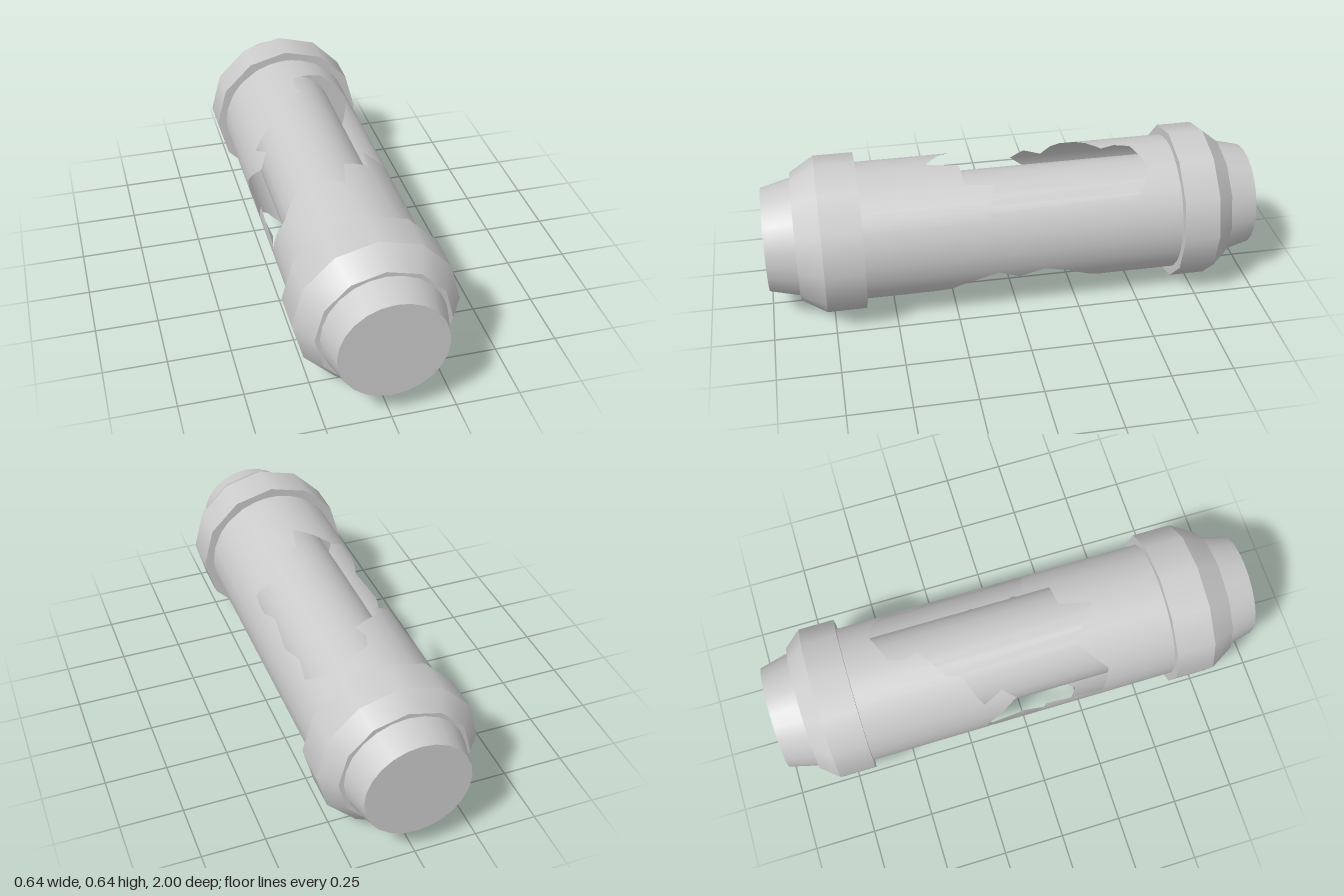
import * as THREE from 'three';
import { mergeGeometries } from 'three/addons/utils/BufferGeometryUtils.js';

const AXIS_Y = 0.32;
const material = new THREE.MeshStandardMaterial({ color: 0xcccccc });
const thinMaterial = new THREE.MeshStandardMaterial({ color: 0xcccccc, side: THREE.DoubleSide });

// Turned part along z from [radius, z] points: smooth around, sharp between bands
function turned(name, points, sides) {
  const bands = [];
  for (let i = 0; i < points.length - 1; i++) {
    const pair = [points[i], points[i + 1]].map(([r, z]) => new THREE.Vector2(r, z));
    bands.push(new THREE.LatheGeometry(pair, sides));
  }
  const geometry = mergeGeometries(bands).rotateX(Math.PI / 2);
  const mesh = new THREE.Mesh(geometry, material);
  mesh.name = name;
  mesh.position.y = AXIS_Y;
  return mesh;
}

// Torn openings as [angle in degrees from +x, z] outlines
const topTear = [
  [32, 0.12], [60, 0.09], [62, 0.2], [84, 0.21], [90, 0.34], [120, 0.23], [149, 0.34],
  [179, 0.31], [176, 0.2], [173, 0.07], [188, 0.035], [185, -0.08], [202, -0.17], [180, -0.18],
  [152, -0.05], [140, -0.1], [150, -0.18], [142, -0.2], [120, -0.24], [115, -0.3], [90, -0.38],
  [94, -0.44], [90, -0.5], [62, -0.55], [44, -0.51], [33, -0.46], [38, -0.36], [31, -0.25],
  [37, -0.08], [30, 0], [30, 0.06],
];
const bottomTear = [
  [-33, 0.22], [-20, 0.09], [-30, 0], [-21, -0.1], [-30, -0.22], [-51, -0.34], [-73, -0.4],
  [-94, -0.42], [-108, -0.34], [-113, -0.16], [-135, -0.2], [-148, -0.15], [-141, 0],
  [-149, 0.1], [-144, 0.2], [-128, 0.24], [-113, 0.19], [-112, 0.38], [-87, 0.4], [-56, 0.41],
  [-45, 0.27],
];

// Thin tube cut by the tears: slabs between successive angles, split at every outline edge
function tornSleeve(radius, zBack, zFront) {
  const start = -155, end = 205;
  const edges = [[[start, zBack], [end, zBack]], [[start, zFront], [end, zFront]]];
  const angles = new Set([start, end]);
  for (let a = -150; a < end; a += 15) angles.add(a);
  for (const tear of [topTear, bottomTear]) {
    tear.forEach((p, i) => {
      angles.add(p[0]);
      edges.push([p, tear[(i + 1) % tear.length]]);
    });
  }
  const zAt = ([p, q], a) => p[1] + (q[1] - p[1]) * (a - p[0]) / (q[0] - p[0]);
  const positions = [], normals = [];
  const vertex = (a, z) => {
    const c = Math.cos(a * Math.PI / 180), s = Math.sin(a * Math.PI / 180);
    positions.push(radius * c, radius * s, z);
    normals.push(c, s, 0);
  };
  const sorted = [...angles].sort((a, b) => a - b);
  for (let i = 0; i < sorted.length - 1; i++) {
    const a = sorted[i], b = sorted[i + 1], mid = (a + b) / 2;
    const crossing = edges
      .filter(([p, q]) => Math.min(p[0], q[0]) <= a && Math.max(p[0], q[0]) >= b)
      .sort((e, f) => zAt(e, mid) - zAt(f, mid));
    for (let k = 0; k + 1 < crossing.length; k += 2) {
      const lo = crossing[k], hi = crossing[k + 1];
      vertex(a, zAt(lo, a)); vertex(b, zAt(lo, b)); vertex(b, zAt(hi, b));
      vertex(a, zAt(lo, a)); vertex(b, zAt(hi, b)); vertex(a, zAt(hi, a));
    }
  }
  const geometry = new THREE.BufferGeometry();
  geometry.setAttribute('position', new THREE.Float32BufferAttribute(positions, 3));
  geometry.setAttribute('normal', new THREE.Float32BufferAttribute(normals, 3));
  const mesh = new THREE.Mesh(geometry, thinMaterial);
  mesh.name = 'tornSleeve';
  mesh.position.y = AXIS_Y;
  return mesh;
}

export function createModel() {
  const model = new THREE.Group();
  model.name = 'brokenCasing';

  // Inner rod with flared, tapering ends
  model.add(turned('innerRod', [
    [0, -1], [0.21, -1], [0.24, -0.88], [0.24, -0.8], [0.205, -0.8],
    [0.205, 0.8], [0.24, 0.8], [0.24, 0.88], [0.21, 1], [0, 1],
  ], 24));

  // Twelve-sided collars, the rear one slightly shorter
  model.add(turned('frontCollar', [
    [0.2, 0.62], [0.32, 0.62], [0.32, 0.78], [0.26, 0.88], [0.2, 0.88],
  ], 12));
  model.add(turned('rearCollar', [
    [0.2, -0.88], [0.26, -0.88], [0.32, -0.81], [0.32, -0.665], [0.2, -0.665],
  ], 12));

  // Outer sleeve with ragged openings
  model.add(tornSleeve(0.28, -0.68, 0.64));
  return model;
}
